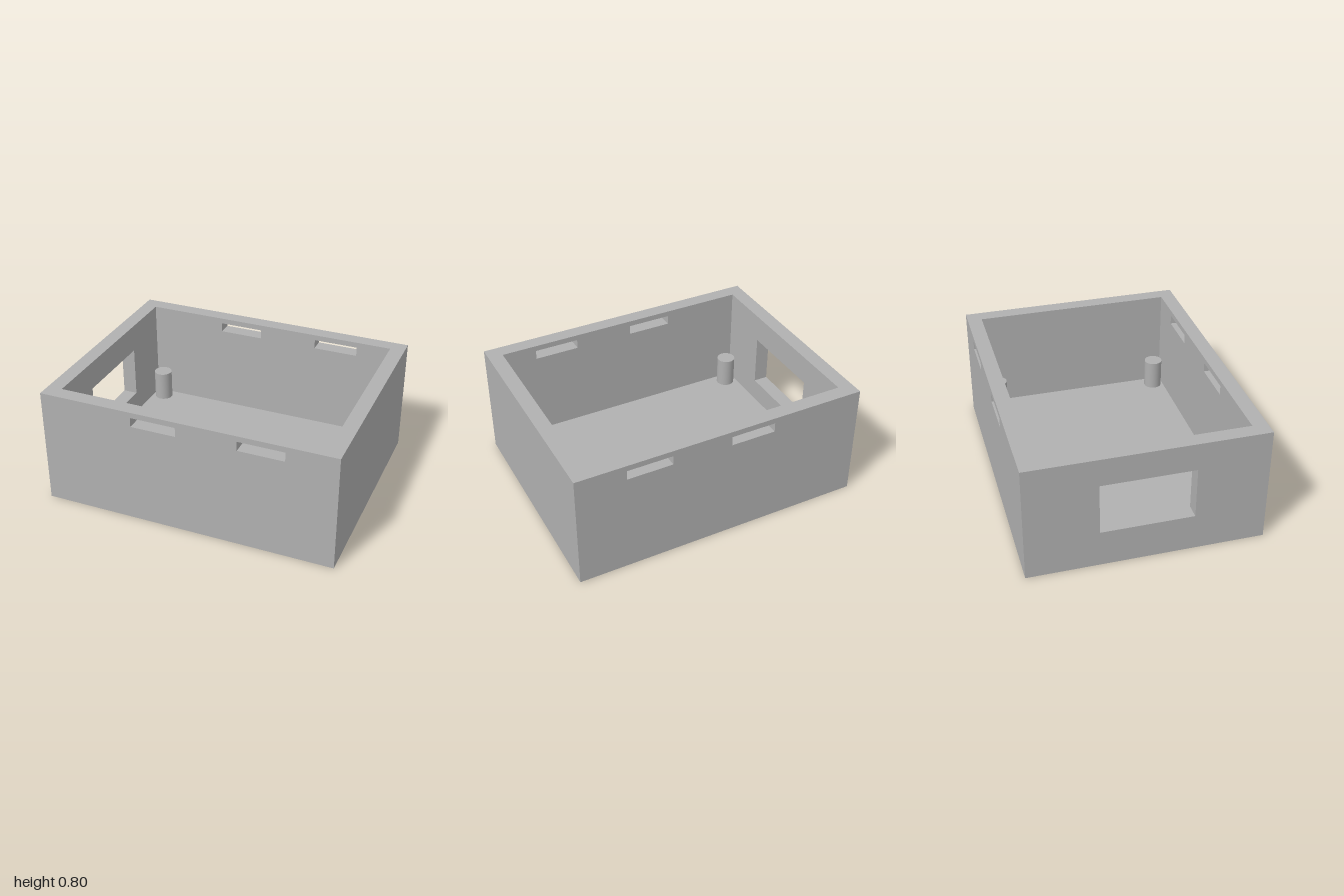
import * as THREE from 'three';

const WIDTH = 2, HEIGHT = 0.8, DEPTH = 1.56, WALL = 0.1, FLOOR = 0.1;

// Upright wall panel with rectangular holes given as [x0, x1, y0, y1]
function wallPanel(length, holes) {
  const h = length / 2;
  const shape = new THREE.Shape([[-h, 0], [h, 0], [h, HEIGHT], [-h, HEIGHT]].map(p => new THREE.Vector2(...p)));
  for (const [x0, x1, y0, y1] of holes) {
    shape.holes.push(new THREE.Path([[x0, y0], [x0, y1], [x1, y1], [x1, y0]].map(p => new THREE.Vector2(...p))));
  }
  return new THREE.ExtrudeGeometry(shape, { depth: WALL, bevelEnabled: false });
}

export function createModel() {
  const group = new THREE.Group();
  const grey = new THREE.MeshStandardMaterial({ color: 0xb0b0b0 });
  grey.name = 'grey plastic';

  const add = (name, geometry, x, y, z) => {
    const mesh = new THREE.Mesh(geometry, grey);
    mesh.name = name;
    mesh.position.set(x, y, z);
    group.add(mesh);
  };

  // Front and back walls, each with two vent slots
  const slots = [[-0.36, -0.053, 0.698, 0.762], [0.355, 0.663, 0.698, 0.762]];
  const longWall = wallPanel(WIDTH, slots);
  add('frontWall', longWall, 0, 0, DEPTH / 2 - WALL);
  add('backWall', longWall, 0, 0, -DEPTH / 2);

  // Side walls between them; one has a port opening
  const sideLength = DEPTH - 2 * WALL;
  const port = [[-0.307, 0.307, 0.255, 0.61]];
  add('solidSideWall', wallPanel(sideLength, []).rotateY(Math.PI / 2), WIDTH / 2 - WALL, 0, 0);
  add('portSideWall', wallPanel(sideLength, port).rotateY(Math.PI / 2), -WIDTH / 2, 0, 0);

  // Floor
  add('floor', new THREE.BoxGeometry(WIDTH - 2 * WALL, FLOOR, sideLength), 0, FLOOR / 2, 0);

  // Corner standoffs
  const postHeight = 0.21;
  const post = new THREE.CylinderGeometry(0.064, 0.064, postHeight, 40);
  for (const sx of [-1, 1]) {
    for (const sz of [-1, 1]) {
      add('standoff', post, sx * 0.82, FLOOR + postHeight / 2, sz * 0.604);
    }
  }
  return group;
}
